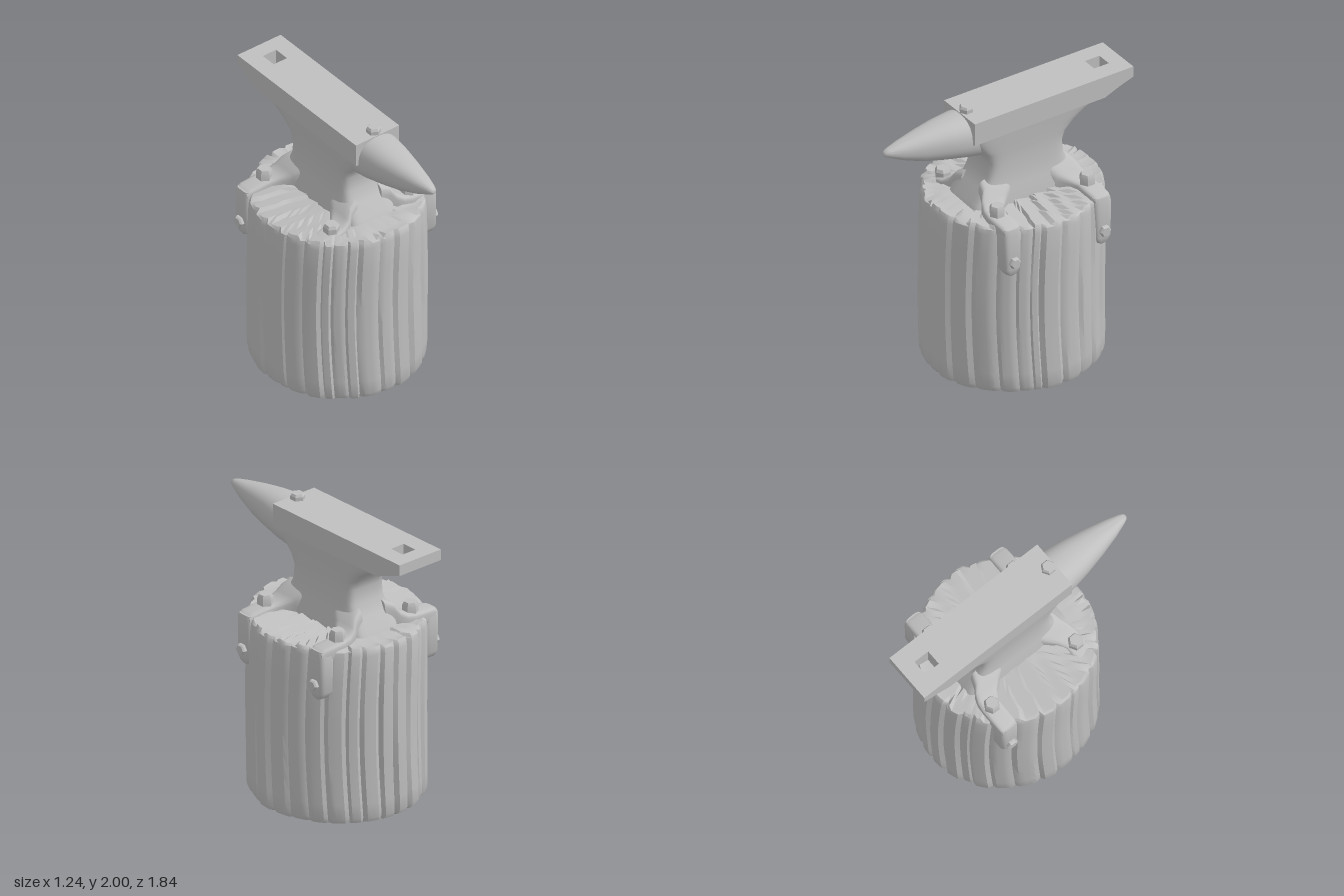
import * as THREE from 'three';
import { toCreasedNormals } from 'three/addons/utils/BufferGeometryUtils.js';

const grey = new THREE.MeshStandardMaterial({ color: 0xbfbfbf });
grey.name = 'plain grey';

function seeded(seed) {
  return () => {
    seed = (seed * 16807) % 2147483647;
    return seed / 2147483647;
  };
}

// Closed skin over rings of points, capped at both ends and turned outward.
function skin(rings, crease = 0.6) {
  const n = rings[0].length, m = rings.length, pos = [], idx = [];
  rings.forEach(r => r.forEach(p => pos.push(...p)));
  for (const r of [rings[0], rings[m - 1]]) {
    for (let a = 0; a < 3; a++) pos.push(r.reduce((s, p) => s + p[a], 0) / n);
  }
  for (let i = 0; i < m - 1; i++) {
    for (let j = 0; j < n; j++) {
      const a = i * n + j, b = i * n + (j + 1) % n;
      idx.push(a, b, b + n, a, b + n, a + n);
    }
  }
  for (let j = 0; j < n; j++) {
    const k = (j + 1) % n, last = (m - 1) * n;
    idx.push(m * n, k, j, m * n + 1, last + j, last + k);
  }
  const v = i => new THREE.Vector3().fromArray(pos, i * 3);
  let volume = 0;
  for (let t = 0; t < idx.length; t += 3) volume += v(idx[t]).dot(v(idx[t + 1]).cross(v(idx[t + 2])));
  if (volume < 0) idx.reverse();
  const g = new THREE.BufferGeometry();
  g.setAttribute('position', new THREE.Float32BufferAttribute(pos, 3));
  g.setIndex(idx);
  return toCreasedNormals(g, crease);
}

// Unit outline: e = 1 is a circle, smaller e is closer to a square.
function outline(n, e) {
  const f = c => Math.sign(c) * Math.abs(c) ** e;
  return Array.from({ length: n }, (_, j) => {
    const t = (j + 0.5) / n * Math.PI * 2;
    return [f(Math.cos(t)), f(Math.sin(t))];
  });
}

function add(parent, name, geometry) {
  const mesh = new THREE.Mesh(geometry, grey);
  mesh.name = name;
  parent.add(mesh);
  return mesh;
}

// Hexagonal bolt head standing on y = 0
function bolt(parent, name, x, y, z, r = 0.055, h = 0.08) {
  const rows = [[0, 1], [0.7, 1], [1, 0.78]];
  const mesh = add(parent, name, skin(rows.map(([t, s]) =>
    outline(6, 1).map(([a, b]) => [a * r * s, t * h, b * r * s])), 0.4));
  mesh.position.set(x, y, z);
  return mesh;
}

function makeLog() {
  const rand = seeded(77), count = 30, steps = 5, n = count * steps;
  // uneven bark strips, each with its own width, bulge and lean
  const strips = Array.from({ length: count }, () => ({ w: 0.5 + rand(), out: rand() * 0.026, lean: rand() - 0.5 }));
  const total = strips.reduce((s, p) => s + p.w, 0);
  const points = [];
  let start = 0;
  for (const s of strips) {
    for (let k = 0; k < steps; k++) {
      const t = k / steps;
      points.push({ a: (start + s.w * t) / total * Math.PI * 2, off: k === 0 ? -0.028 : s.out - 0.012, lean: s.lean });
    }
    start += s.w;
  }
  const ring = (y, scale, top) => points.map(p => {
    const a = p.a + 0.05 * Math.sin(y * 2.3);
    const r = scale * (1 + p.off + 0.014 * p.lean * Math.sin(y * 5 + p.lean * 9));
    const x = -0.008 + 0.588 * r * Math.cos(a), z = -0.085 + 0.615 * r * Math.sin(a);
    // saw-cut ridges across the top
    const q = (z + 0.06 * x) / 0.125;
    return [x, top ? y + 0.025 * (q - Math.floor(q)) - 0.012 : y, z];
  });
  const rings = [ring(0, 0.4), ring(0, 0.93), ring(0.012, 0.97), ring(0.045, 0.995)];
  for (let y = 0.15; y < 1.2; y += 0.15) rings.push(ring(y, 1));
  rings.push(ring(1.22, 0.995), ring(1.255, 0.985));
  for (const s of [0.96, 0.85, 0.74, 0.63, 0.52, 0.4, 0.25, 0.1]) rings.push(ring(1.27, s, true));
  return skin(rings, 0.55);
}

function makeAnvil() {
  const anvil = new THREE.Group();
  anvil.name = 'anvil';

  // Waist: y, back z, front z, half width
  const waist = [
    [1.22, -0.54, 0.33, 0.2], [1.3, -0.51, 0.3, 0.195], [1.38, -0.45, 0.23, 0.175],
    [1.47, -0.41, 0.19, 0.163], [1.57, -0.4, 0.18, 0.16], [1.64, -0.425, 0.21, 0.162],
    [1.72, -0.51, 0.28, 0.17], [1.77, -0.6, 0.31, 0.174], [1.81, -0.69, 0.325, 0.178],
  ];
  add(anvil, 'waist', skin(waist.map(([y, b, f, w]) =>
    outline(40, 0.28).map(([u, v]) => [u * w, y, (b + f) / 2 + v * (f - b) / 2])), 0.7));

  // Face and heel, cut into strips around the square hole
  const under = [[-0.92, 1.89], [-0.81, 1.852], [-0.695, 1.805], [0.33, 1.79]];
  const strip = (name, x0, x1, z0, z1) => {
    const height = z => {
      const i = Math.max(1, under.findIndex(p => p[0] >= z));
      const [a, b] = [under[i - 1], under[i]];
      return a[1] + (b[1] - a[1]) * (z - a[0]) / (b[0] - a[0]);
    };
    const zs = [z0, ...under.map(p => p[0]).filter(z => z > z0 && z < z1), z1];
    add(anvil, name, skin(zs.map(z => {
      const top = 1.967 - 0.008 * (z + 0.92);
      return [[x0, height(z), z], [x1, height(z), z], [x1, top, z], [x0, top, z]];
    }), 0.5));
  };
  strip('faceLeft', 0.055, 0.18, -0.92, 0.33);
  strip('faceRight', -0.18, -0.055, -0.92, 0.33);
  strip('faceMiddle', -0.055, 0.055, -0.695, 0.33);
  strip('heelEnd', -0.055, 0.055, -0.92, -0.81);

  // Horn: z, top, bottom, half width
  const horn = [
    [0.2, 1.95, 1.61, 0.15], [0.35, 1.95, 1.645, 0.16], [0.5, 1.94, 1.675, 0.136],
    [0.65, 1.92, 1.71, 0.104], [0.8, 1.893, 1.765, 0.066], [0.89, 1.873, 1.808, 0.036],
    [0.92, 1.862, 1.823, 0.022], [0.93, 1.85, 1.835, 0.008],
  ];
  add(anvil, 'horn', skin(horn.map(([z, t, b, w]) =>
    outline(32, 0.85).map(([u, v]) => [u * w, (t + b) / 2 + v * (t - b) / 2, z])), 0.9));
  bolt(anvil, 'faceBolt', 0.007, 1.945, 0.28, 0.05, 0.055);

  // Four feet; all but the front right one fold down over the log
  for (const sx of [-1, 1]) {
    for (const sz of [-1, 1]) {
      const short = sx < 0 && sz > 0;
      const zc = sz > 0 ? 0.247 : -0.463, drop = short ? 0.025 : 0;
      // x, top, inward shift, half width
      const foot = [
        [0.1, 1.45, 0.12, 0.12], [0.165, 1.42, 0.1, 0.12], [0.2, 1.36, 0.06, 0.105],
        [0.25, 1.325, 0.02, 0.083], [0.31, 1.31, 0, 0.07],
        [short ? 0.4 : 0.47, 1.3, 0, 0.068], [short ? 0.44 : 0.505, 1.28, 0, 0.06],
      ];
      add(anvil, 'foot', skin(foot.map(([x, t, s, w]) => outline(24, 0.4).map(([u, v]) =>
        [sx * x, (t - drop + 1.2) / 2 + v * (t - drop - 1.2) / 2, zc - sz * s + u * w])), 0.8));
      bolt(anvil, 'footBolt', sx * 0.318, 1.295 - drop, zc, 0.055, 0.085 - drop * 0.6);
      if (short) continue;
      // y, half width, thickness scale
      const strap = [[0.93, 0.02, 0.7], [0.945, 0.045, 0.85], [0.985, 0.066, 1], [1.24, 0.07, 1], [1.285, 0.06, 0.85]];
      add(anvil, 'strap', skin(strap.map(([y, w, d]) => outline(24, 0.5).map(([u, v]) =>
        [sx * (0.455 + u * 0.062 * d), y, zc + v * w])), 0.8));
      bolt(anvil, 'strapBolt', sx * 0.505, 1.04, zc, 0.042, 0.04).rotation.z = -sx * Math.PI / 2;
    }
  }
  anvil.position.x = 0.018;
  anvil.rotation.y = 0.232;
  return anvil;
}

export function createModel() {
  const model = new THREE.Group();
  model.name = 'anvilOnLog';
  add(model, 'log', makeLog());
  model.add(makeAnvil());
  return model;
}
